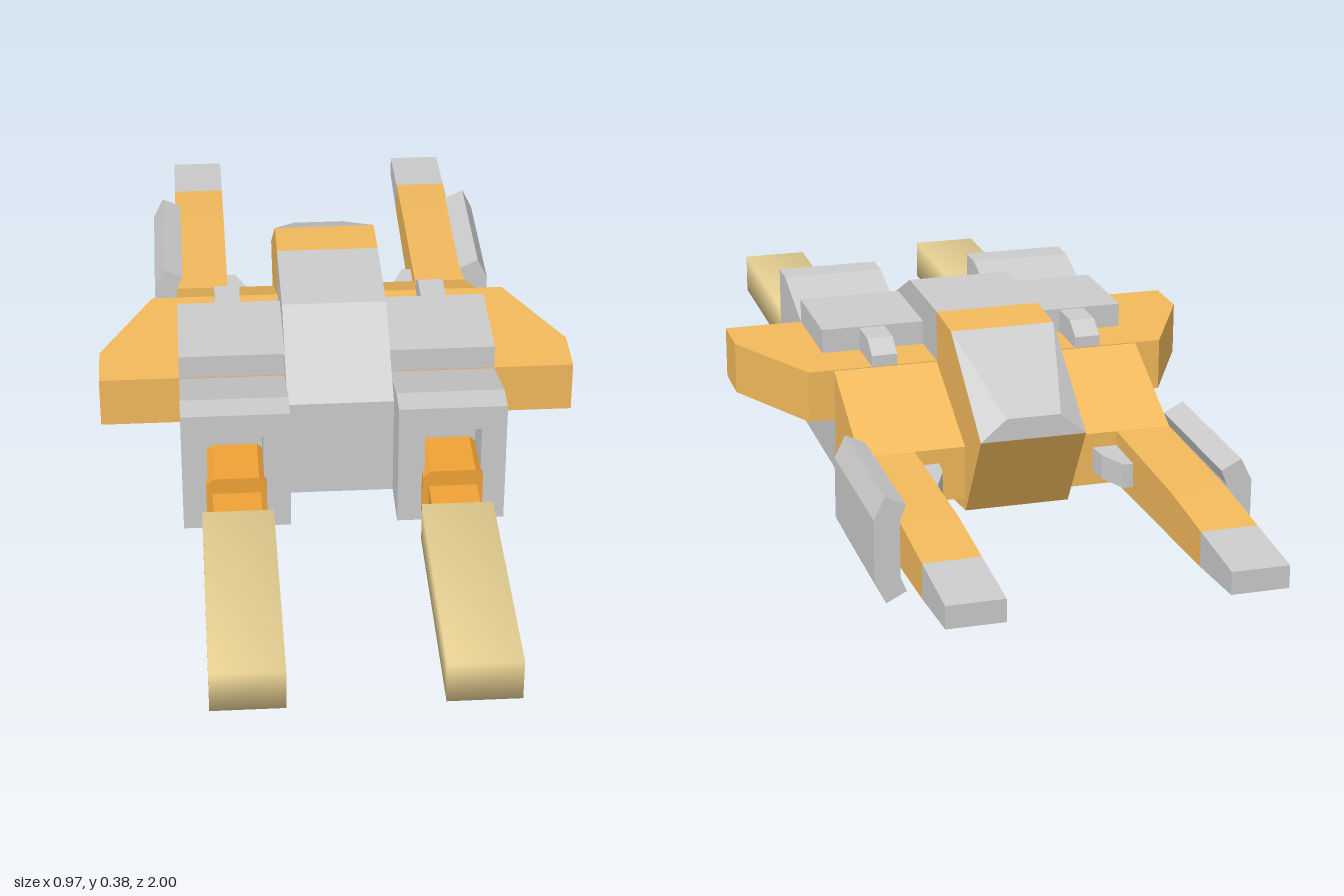
import * as THREE from 'three';
import { mergeVertices } from 'three/addons/utils/BufferGeometryUtils.js';
import { ConvexGeometry } from 'three/addons/geometries/ConvexGeometry.js';

const material = (color) => new THREE.MeshStandardMaterial({ color, flatShading: true });
const grey = material(0xcccccc);
const gold = material(0xf2b95c);
const orange = material(0xf0a236);
const flameMaterial = new THREE.MeshStandardMaterial({ color: 0xecd596 });

const outline = (points) => new THREE.Shape(points.map(([a, b]) => new THREE.Vector2(a, b)));
const extrude = (points, depth) =>
  new THREE.ExtrudeGeometry(outline(points), { depth, bevelEnabled: false });

export function createModel() {
  const model = new THREE.Group();
  model.name = 'spaceship';

  function add(name, geometry, mat) {
    const mesh = new THREE.Mesh(geometry, mat);
    mesh.name = name;
    model.add(mesh);
    return mesh;
  }
  // side profile [z, y] extruded from x0 to x1
  function slab(name, profile, x0, x1, mat) {
    const g = extrude(profile, Math.abs(x1 - x0));
    g.rotateY(-Math.PI / 2).translate(Math.max(x0, x1), 0, 0);
    return add(name, g, mat);
  }
  // plan outline [x, z] extruded from y0 to y1
  function plate(name, plan, y0, y1, mat) {
    const g = extrude(plan, y1 - y0);
    g.rotateX(Math.PI / 2).translate(0, y1, 0);
    return add(name, g, mat);
  }
  function box(name, x, y, z, w, h, d, mat) {
    return add(name, new THREE.BoxGeometry(w, h, d).translate(x, y, z), mat);
  }

  // central hull
  const W = 0.107;
  slab('hull', [[0.29, 0.055], [0.29, 0.27], [0.08, 0.378], [-0.14, 0.378], [-0.14, 0], [0.08, 0]], -W, W, grey);
  slab('nose', [[-0.14, 0.378], [-0.25, 0.372], [-0.47, 0.215], [-0.36, 0.03], [-0.14, 0]], -W, W, gold);
  const canopy = [];
  for (const s of [1, -1]) {
    canopy.push(
      new THREE.Vector3(s * W, 0.372, -0.25),
      new THREE.Vector3(s * 0.055, 0.26, -0.47),
      new THREE.Vector3(s * W, 0.215, -0.47));
  }
  add('canopy', new ConvexGeometry(canopy), grey);

  for (const s of [1, -1]) {
    const mirror = (points) => points.map(([x, v]) => [s * x, v]);
    const side = s > 0 ? 'left' : 'right';

    // engine pod: two walls and a middle with the exhaust recess
    const top = [[0.4, 0.322], [0.34, 0.322], [0.18, 0.27], [-0.14, 0.27], [-0.14, 0.055], [0.4, 0.055]];
    const recess = [[0.4, 0.065], [0.3, 0.065], [0.3, 0.27], [0.4, 0.27]];
    slab(side + 'PodInnerWall', top, s * W, s * 0.16, grey);
    slab(side + 'PodCore', [...top, ...recess], s * 0.16, s * 0.272, grey);
    slab(side + 'PodOuterWall', top, s * 0.272, s * 0.322, grey);

    // sloping pod nose and the prong growing from it
    slab(side + 'PodNose', [[-0.14, 0.27], [-0.355, 0.165], [-0.355, 0.055], [-0.14, 0.055]], s * W, s * 0.322, gold);
    slab(side + 'Prong', [[-0.355, 0.165], [-0.68, 0.16], [-0.84, 0.147], [-0.84, 0.077], [-0.355, 0.055]],
      s * 0.21, s * 0.322, gold);
    slab(side + 'ProngTip', [[-0.84, 0.147], [-1, 0.135], [-1, 0.09], [-0.84, 0.077]], s * 0.21, s * 0.322, grey);
    plate(side + 'InnerGun', mirror([[0.21, -0.355], [0.16, -0.355], [0.165, -0.4], [0.19, -0.46], [0.21, -0.46]]),
      0.085, 0.135, grey);

    // stub wing running through the pod
    plate(side + 'Wing', mirror([[W, -0.139], [0.375, -0.139], [0.485, 0.075], [0.485, 0.18], [W, 0.18]]),
      0.165, 0.272, gold);

    // raised top plate with a short bevelled tab
    box(side + 'TopPlate', s * 0.2145, 0.296, 0.075, 0.215, 0.052, 0.21, grey);
    slab(side + 'TopTab', [[-0.03, 0.32], [-0.1, 0.32], [-0.139, 0.295], [-0.139, 0.27], [-0.03, 0.27]],
      s * 0.19, s * 0.243, grey);

    // bent side fin
    const fin = extrude(mirror([
      [0.35, 0], [0.372, 0.045], [0.372, 0.17], [0.35, 0.215],
      [0.31, 0.195], [0.322, 0.165], [0.322, 0.05], [0.31, 0.02]]), 0.325);
    add(side + 'Fin', fin.translate(0, 0, -0.68), grey);

    // exhaust: chamfered collar, nozzle and flame
    const cx = s * 0.215, cy = 0.126;
    const collar = [[0.06, 0.045], [0.045, 0.06], [-0.045, 0.06], [-0.06, 0.045],
      [-0.06, -0.045], [-0.045, -0.06], [0.045, -0.06], [0.06, -0.045]];
    add(side + 'ExhaustCollar', extrude(collar, 0.12).translate(cx, cy, 0.3), orange);
    box(side + 'Nozzle', cx, cy, 0.46, 0.096, 0.05, 0.1, orange);
    // flame normals are shared across its corners for a soft look
    const flame = new THREE.BoxGeometry(0.14, 0.085, 0.495);
    flame.deleteAttribute('normal');
    flame.deleteAttribute('uv');
    const soft = mergeVertices(flame);
    soft.computeVertexNormals();
    add(side + 'Flame', soft.translate(cx, cy, 0.7525), flameMaterial);
  }
  return model;
}
